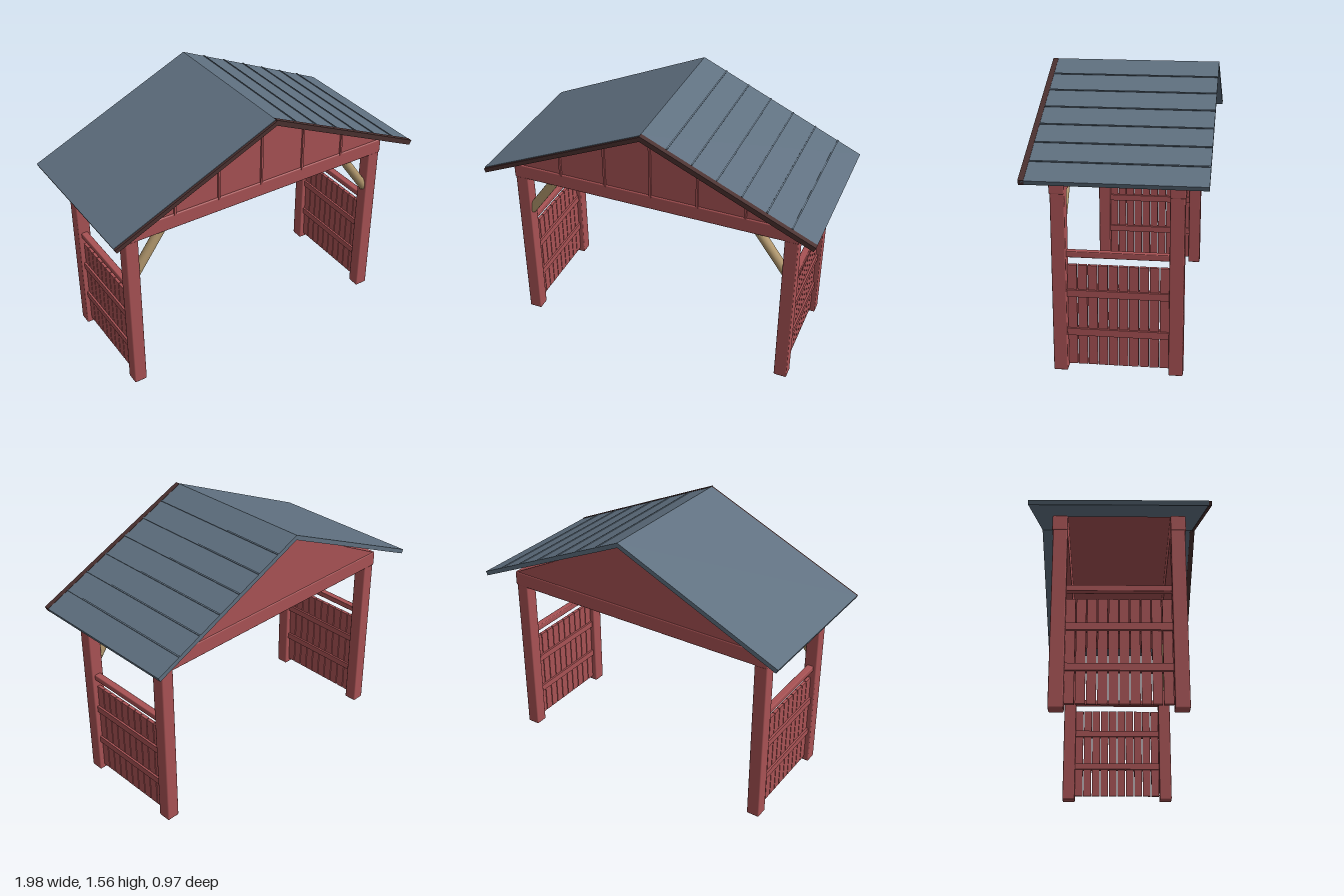
import * as THREE from 'three';
import { RoundedBoxGeometry } from 'three/addons/geometries/RoundedBoxGeometry.js';

const material = (name, color) => {
  const m = new THREE.MeshStandardMaterial({ color });
  m.name = name;
  return m;
};

export function createModel() {
  const red = material('red painted wood', 0xa85254);
  const blue = material('slate blue roofing', 0x5f7080);
  const brown = material('dark brown trim', 0x4a302f);
  const tan = material('natural wood', 0xb0966c);
  const model = new THREE.Group();
  model.name = 'gateShelter';

  const add = (parent, name, geometry, mat) => {
    const mesh = new THREE.Mesh(geometry, mat);
    mesh.name = name;
    parent.add(mesh);
    return mesh;
  };
  // Box given by its minimum and maximum corners, with an optional eased edge
  const box = (parent, name, mat, [x0, y0, z0], [x1, y1, z1], bevel = 0) => {
    const size = [x1 - x0, y1 - y0, z1 - z0];
    const geometry = bevel
      ? new RoundedBoxGeometry(...size, 1, bevel)
      : new THREE.BoxGeometry(...size);
    const mesh = add(parent, name, geometry, mat);
    mesh.position.set((x0 + x1) / 2, (y0 + y1) / 2, (z0 + z1) / 2);
    return mesh;
  };

  // Side walls: two posts, a handrail and a picket panel on each side
  for (const s of [-1, 1]) {
    const side = new THREE.Group();
    side.name = s > 0 ? 'leftSide' : 'rightSide';
    side.position.x = s * 0.825;
    model.add(side);
    box(side, 'frontPost', red, [-0.039, 0, 0.27], [0.039, 1.07, 0.347], 0.007);
    box(side, 'backPost', red, [-0.039, 0, -0.358], [0.039, 1.07, -0.28], 0.007);
    box(side, 'handrail', red, [-0.02, 0.655, -0.285], [0.02, 0.69, 0.275], 0.005);
    for (const y of [0.205, 0.43]) {
      box(side, 'fenceRail', red, [-0.022, y, -0.282], [0.022, y + 0.04, 0.272]);
    }
    for (let i = 0; i < 10; i++) {
      const z = -0.28 + i * 0.0553;
      box(side, 'picket', red, [-0.01, 0.03, z], [0.01, 0.61, z + 0.05]);
    }

    // Diagonal brace at the front post
    const a = new THREE.Vector3(s * 0.8, 0.766, 0.308);
    const b = new THREE.Vector3(s * 0.614, 1.026, 0.308);
    const brace = add(model, 'brace', new THREE.CylinderGeometry(0.028, 0.028, a.distanceTo(b), 16), tan);
    brace.position.copy(a).lerp(b, 0.5);
    brace.quaternion.setFromUnitVectors(new THREE.Vector3(0, 1, 0), b.sub(a).normalize());
  }

  // Cross beams
  box(model, 'frontBeam', red, [-0.867, 1.01, 0.27], [0.867, 1.1, 0.352], 0.007);
  box(model, 'backBeam', red, [-0.867, 1.01, -0.363], [0.867, 1.1, -0.28], 0.007);

  // Closed gable body between the beams and the roof
  const gable = new THREE.Shape([
    new THREE.Vector2(-0.862, 1.095),
    new THREE.Vector2(0.862, 1.095),
    new THREE.Vector2(0, 1.53),
  ]);
  const body = add(model, 'gable',
    new THREE.ExtrudeGeometry(gable, { depth: 0.702, bevelEnabled: false }), red);
  body.position.z = -0.358;

  // Battens on the front gable
  for (const [x, top] of [[-0.56, 1.235], [-0.28, 1.375], [0, 1.52], [0.28, 1.375], [0.56, 1.235]]) {
    box(model, 'gableBatten', red, [x - 0.006, 1.09, 0.34], [x + 0.006, top, 0.356]);
  }

  // Roof slopes, each built along its own incline from the ridge
  const pitch = Math.atan(0.45);
  const length = 1.085;
  for (const s of [-1, 1]) {
    const slope = new THREE.Group();
    slope.name = s > 0 ? 'leftRoof' : 'rightRoof';
    slope.position.set(0, 1.562, 0);
    slope.rotation.z = -s * pitch;
    model.add(slope);
    const x = (d) => s * d;
    const span = (d0, d1) => [Math.min(x(d0), x(d1)), Math.max(x(d0), x(d1))];
    const [r0, r1] = span(0, length);
    box(slope, 'roofPanel', blue, [r0, -0.026, -0.485], [r1, 0, 0.468]);
    // Front verge board
    const lift = s > 0 ? 0.002 : -0.003;
    const back = s > 0 ? 0.452 : 0.464;
    box(slope, 'vergeBoard', brown, [r0, -0.028, back], [r1, lift, 0.482]);
    // Raised seams on one slope only
    if (s > 0) {
      for (let i = 1; i <= 6; i++) {
        const d = i * 0.155;
        box(slope, 'roofSeam', blue, [d - 0.004, -0.002, -0.485], [d + 0.004, 0.005, 0.452]);
      }
    }
  }

  return model;
}
